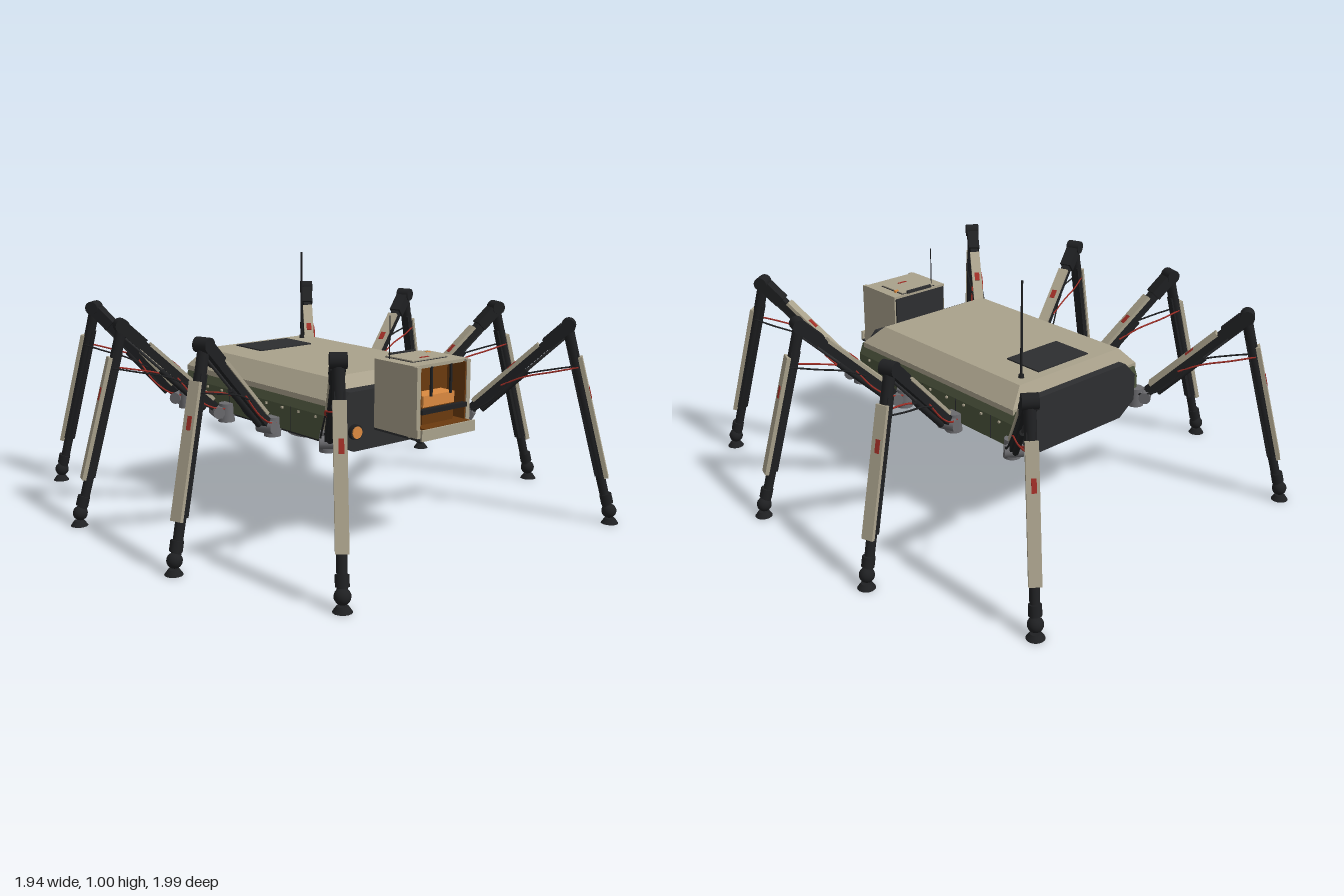
import * as THREE from 'three';

const mat = (name, color) => {
  const m = new THREE.MeshStandardMaterial({ color });
  m.name = name;
  return m;
};

export function createModel() {
  const beige = mat('beige armour', 0xaaa28c), dark = mat('dark hull', 0x2d2e30);
  const black = mat('black metal', 0x1f2022), green = mat('olive panel', 0x4d553d);
  const grey = mat('grey metal', 0x6b6b6f), brown = mat('brown cabin', 0x6b3a0e);
  const orange = mat('orange', 0xdb8a40), red = mat('red', 0xa02e26);
  const model = new THREE.Group();
  model.name = 'eightLeggedWalker';

  const add = (parent, name, geo, material, x = 0, y = 0, z = 0) => {
    const m = new THREE.Mesh(geo, material);
    m.name = name;
    m.position.set(x, y, z);
    parent.add(m);
    return m;
  };
  // box given by its min and max along each axis
  const box = (parent, name, material, x0, x1, y0, y1, z0, z1) =>
    add(parent, name, new THREE.BoxGeometry(x1 - x0, y1 - y0, z1 - z0), material,
      (x0 + x1) / 2, (y0 + y1) / 2, (z0 + z1) / 2);
  const cyl = (r0, r1, h, n = 16) => new THREE.CylinderGeometry(r0, r1, h, n);
  // mirrored half-profile, extruded from z0 to z1
  const prism = (parent, name, material, half, z0, z1) => {
    const pts = [...half, ...half.map(([x, y]) => [-x, y]).reverse()].map(p => new THREE.Vector2(...p));
    return add(parent, name, new THREE.ExtrudeGeometry(new THREE.Shape(pts), { depth: z1 - z0, bevelEnabled: false }),
      material, 0, 0, z0);
  };
  const tube = (parent, name, material, pts, r) => add(parent, name,
    new THREE.TubeGeometry(new THREE.CatmullRomCurve3(pts.map(p => new THREE.Vector3(...p))), 14, r, 6), material);

  // ---- body ----
  const body = new THREE.Group();
  body.name = 'body';
  model.add(body);
  prism(body, 'sidePanels', green, [[0.31, 0.39], [0.343, 0.4], [0.343, 0.495], [0.325, 0.54]], -0.47, 0.47);
  prism(body, 'lowerHull', dark, [[0.23, 0.348], [0.315, 0.392]], -0.478, 0.478);
  const endProfile = [[0.23, 0.348], [0.31, 0.405], [0.31, 0.515], [0.25, 0.575]];
  prism(body, 'frontPlate', dark, endProfile, 0.42, 0.482);
  prism(body, 'rearPlate', dark, endProfile, -0.487, -0.42);

  // roof: a box whose top corners are drawn inwards
  const roofGeo = new THREE.BoxGeometry(2, 1, 2);
  const p = roofGeo.attributes.position;
  for (let i = 0; i < p.count; i++) {
    const top = p.getY(i) > 0, front = p.getZ(i) > 0;
    p.setXYZ(i, Math.sign(p.getX(i)) * (top ? 0.27 : 0.337), top ? 0.62 : 0.55,
      front ? (top ? 0.385 : 0.447) : (top ? -0.43 : -0.465));
  }
  roofGeo.computeVertexNormals();
  add(body, 'roof', roofGeo, beige);
  box(body, 'roofRim', beige, -0.337, 0.337, 0.53, 0.551, -0.465, 0.447);
  box(body, 'roofVent', dark, -0.135, 0.135, 0.618, 0.625, -0.39, -0.215);
  add(body, 'aerial', cyl(0.004, 0.005, 0.385, 8), black, 0.215, 0.808, -0.38);
  add(body, 'aerialBase', cyl(0.01, 0.012, 0.015, 10), black, 0.215, 0.625, -0.38);
  add(body, 'bellyTurret', cyl(0.13, 0.13, 0.052, 32), grey, 0, 0.326, 0);
  for (const s of [-1, 1]) {
    // headlamps
    const ring = add(body, 'lampHousing', cyl(0.029, 0.029, 0.022, 16), black, s * 0.23, 0.425, 0.488);
    const lamp = add(body, 'lamp', cyl(0.023, 0.023, 0.006, 16), orange, s * 0.23, 0.425, 0.501);
    ring.rotation.x = lamp.rotation.x = Math.PI / 2;
    // seams and bolts on the flanks
    for (let i = 0; i < 9; i++) {
      const z = -0.4 + i * 0.1;
      box(body, 'bolt', beige, s * 0.346 - 0.004, s * 0.346 + 0.004, 0.481, 0.489, z - 0.004, z + 0.004);
      if (i % 2) box(body, 'seam', dark, s * 0.343 - 0.001, s * 0.343 + 0.001, 0.4, 0.495, z - 0.052, z - 0.048);
    }
  }

  // ---- cabin ----
  const cabin = new THREE.Group();
  cabin.name = 'cabin';
  model.add(cabin);
  for (const s of [-1, 1]) {
    box(cabin, 'cabinSide', beige, s * 0.1275 - 0.0095, s * 0.1275 + 0.0095, 0.425, 0.688, 0.49, 0.715);
    box(cabin, 'cabinLining', brown, s * 0.115 - 0.003, s * 0.115 + 0.003, 0.46, 0.68, 0.6, 0.712);
    box(cabin, 'windowPillar', black, s * 0.05 - 0.004, s * 0.05 + 0.004, 0.57, 0.68, 0.695, 0.703);
  }
  box(cabin, 'cabinRoof', beige, -0.137, 0.137, 0.678, 0.69, 0.488, 0.7);
  box(cabin, 'cabinFloor', beige, -0.137, 0.137, 0.428, 0.46, 0.49, 0.72);
  box(cabin, 'underPlate', dark, -0.137, 0.137, 0.42, 0.428, 0.49, 0.738);
  box(cabin, 'backPlate', dark, -0.13, 0.13, 0.428, 0.68, 0.483, 0.492);
  box(cabin, 'frontLip', beige, -0.137, 0.137, 0.422, 0.463, 0.736, 0.745);
  box(cabin, 'sill', brown, -0.118, 0.118, 0.455, 0.465, 0.6, 0.737);
  box(cabin, 'backWall', brown, -0.118, 0.118, 0.46, 0.68, 0.61, 0.62);
  box(cabin, 'console', orange, -0.08, 0.08, 0.53, 0.572, 0.62, 0.69);
  box(cabin, 'consoleBase', brown, -0.08, 0.08, 0.465, 0.53, 0.62, 0.685);
  box(cabin, 'crossBar', black, -0.115, 0.115, 0.513, 0.53, 0.7, 0.722);
  // roof hatch and its fittings
  box(cabin, 'hatchSeam', dark, -0.09, 0.09, 0.689, 0.692, 0.495, 0.642);
  box(cabin, 'hatch', beige, -0.087, 0.087, 0.69, 0.696, 0.498, 0.639);
  box(cabin, 'hatchHinge', dark, -0.065, 0.065, 0.69, 0.702, 0.488, 0.498);
  box(cabin, 'hatchMark', red, -0.022, 0.022, 0.694, 0.698, 0.606, 0.615);
  box(cabin, 'hatchLatch', orange, 0.077, 0.097, 0.69, 0.698, 0.533, 0.545);
  add(cabin, 'cabinAerial', cyl(0.002, 0.002, 0.16, 6), black, -0.1, 0.77, 0.53);

  // ---- legs: drawn in a plane, with x pointing outwards ----
  const hip = [0.02, 0.41], knee = [0.41, 0.78], ankle = [0.597, 0.05];
  // group lying along a to b: local x runs along it, y is its outer side
  const limb = (parent, name, a, b) => {
    const g = new THREE.Group();
    g.name = name;
    g.position.set(a[0], a[1], 0);
    g.rotation.z = Math.atan2(b[1] - a[1], b[0] - a[0]);
    parent.add(g);
    return [g, Math.hypot(b[0] - a[0], b[1] - a[1])];
  };
  const rod = (g, name, material, r0, r1, x0, x1, y, z = 0) => {
    add(g, name, cyl(r1, r0, x1 - x0, 10), material, (x0 + x1) / 2, y, z).rotation.z = -Math.PI / 2;
  };
  const pin = (parent, name, material, r, w, x, y, n = 16) => {
    add(parent, name, cyl(r, r, w, n), material, x, y, 0).rotation.x = Math.PI / 2;
  };

  const makeLeg = name => {
    const leg = new THREE.Group();
    leg.name = name;
    // hip bracket
    add(leg, 'hipPivot', cyl(0.03, 0.034, 0.075), grey, -0.005, 0.405, 0);
    box(leg, 'hipBracket', grey, -0.03, 0.04, 0.385, 0.43, -0.024, 0.024);
    pin(leg, 'hipPin', grey, 0.024, 0.07, 0.035, 0.41);
    // upper leg
    const [upper, lu] = limb(leg, 'upperLeg', hip, knee);
    box(upper, 'upperBeam', black, 0.03, lu - 0.01, -0.02, 0.016, -0.017, 0.017);
    box(upper, 'upperCover', beige, 0.06, lu * 0.75, 0.012, 0.026, -0.022, 0.022);
    box(upper, 'upperMark', red, 0.25, 0.29, 0.024, 0.028, -0.01, 0.012);
    rod(upper, 'upperPiston', black, 0.012, 0.012, 0.06, 0.3, -0.032);
    rod(upper, 'upperPistonRod', dark, 0.006, 0.006, 0.3, lu - 0.04, -0.028);
    box(upper, 'kneeCollar', black, lu - 0.11, lu - 0.02, -0.024, 0.024, -0.025, 0.025);
    // knee
    pin(leg, 'kneePin', black, 0.028, 0.058, knee[0], knee[1]);
    // lower leg
    const [lower, ll] = limb(leg, 'lowerLeg', knee, ankle);
    rod(lower, 'lowerStrut', black, 0.022, 0.018, 0.02, ll - 0.02, -0.004);
    box(lower, 'lowerBeam', black, 0.1, ll * 0.8, -0.024, 0.012, -0.017, 0.017);
    box(lower, 'lowerCover', beige, ll * 0.17, ll * 0.82, 0.01, 0.026, -0.023, 0.023);
    box(lower, 'lowerMark', red, 0.25, 0.3, 0.024, 0.028, -0.012, 0.006);
    rod(lower, 'ankleCollar', black, 0.024, 0.024, ll - 0.07, ll - 0.03, 0);
    // foot
    add(leg, 'ankleBall', new THREE.SphereGeometry(0.029, 16, 12), black, ankle[0], 0.05, 0);
    add(leg, 'footPad', cyl(0.02, 0.034, 0.02, 18), black, 0.602, 0.01, 0);
    // hoses
    for (const s of [-1, 1]) {
      tube(leg, 'kneeHose', s > 0 ? red : black,
        [[0.16, 0.535, s * 0.022], [0.25, 0.575, s * 0.03], [0.36, 0.6, s * 0.03], [0.455, 0.62, s * 0.018]], 0.0035);
      tube(leg, 'hipHose', s > 0 ? black : red,
        [[0.2, 0.565, s * 0.022], [0.13, 0.48, s * 0.032], [0.06, 0.435, s * 0.032], [-0.02, 0.42, s * 0.02]], 0.0035);
    }
    return leg;
  };

  for (const sx of [-1, 1]) for (const sz of [-1, 1]) {
    const side = sx > 0 ? 'left' : 'right', end = sz > 0 ? 'Front' : 'Rear';
    for (const [kind, x, z, dx, dz] of [['Outer', 0.345, 0.472, 0.35, 0.49], ['Middle', 0.362, 0.155, 0.58, 0.19]]) {
      const leg = makeLeg(side + end + kind + 'Leg');
      leg.position.set(sx * x, 0, sz * z);
      leg.rotation.y = Math.atan2(-sz * dz, sx * dx);
      model.add(leg);
    }
  }
  return model;
}
